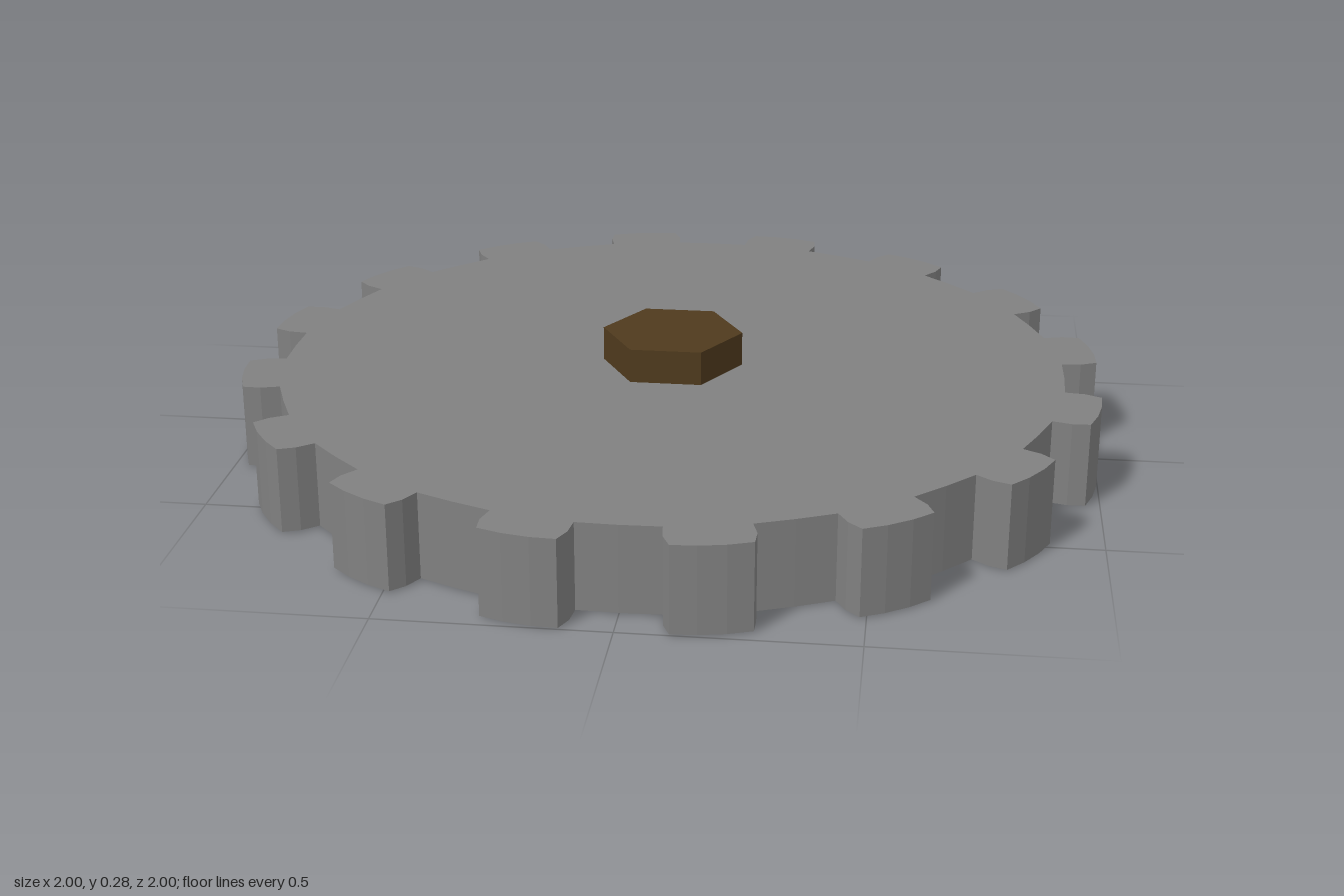
import * as THREE from 'three';

const TEETH = 16;
const BASE = 0.003; // slight stand-off of the gear on its axle end
const TOP = 0.2;

// Tooth outline: [angle from the tooth centre in degrees, radius]
const TOOTH = [
  [-5.65, 0.922], [-5.6, 0.967], [-4.85, 1.006], [-1.7, 1.011],
  [1.7, 1.011], [4.85, 1.006], [5.6, 0.967], [5.65, 0.922],
];

function gearShape() {
  const points = [];
  const step = 360 / TEETH;
  for (let i = 0; i < TEETH; i++) {
    const centre = (i + 0.5) * step;
    // the last point is the middle of the valley after the tooth
    for (const [offset, r] of [...TOOTH, [step / 2, 0.92]]) {
      const a = THREE.MathUtils.degToRad(centre + offset);
      points.push(new THREE.Vector2(r * Math.cos(a), r * Math.sin(a)));
    }
  }
  return new THREE.Shape(points);
}

export function createModel() {
  const steel = new THREE.MeshStandardMaterial({ color: 0x808080 });
  steel.name = 'grey metal';
  const bronze = new THREE.MeshStandardMaterial({ color: 0x4f3a1d, flatShading: true });
  bronze.name = 'brown bolt';

  const model = new THREE.Group();
  model.name = 'gear';
  const add = (name, geometry, material, y = 0) => {
    const mesh = new THREE.Mesh(geometry, material);
    mesh.name = name;
    mesh.position.y = y;
    model.add(mesh);
  };

  // Toothed wheel
  const wheel = new THREE.ExtrudeGeometry(gearShape(), { depth: TOP - BASE, bevelEnabled: false });
  wheel.rotateX(-Math.PI / 2);
  add('toothedWheel', wheel, steel, BASE);

  // Round axle end, just showing underneath
  add('axleEnd', new THREE.CylinderGeometry(0.108, 0.108, 0.1, 32), steel, 0.05);

  // Hexagonal bolt head with corners on the x axis
  const bolt = new THREE.CylinderGeometry(0.165, 0.165, 0.1, 6);
  bolt.rotateY(Math.PI / 6);
  add('boltHead', bolt, bronze, 0.23);

  return model;
}
